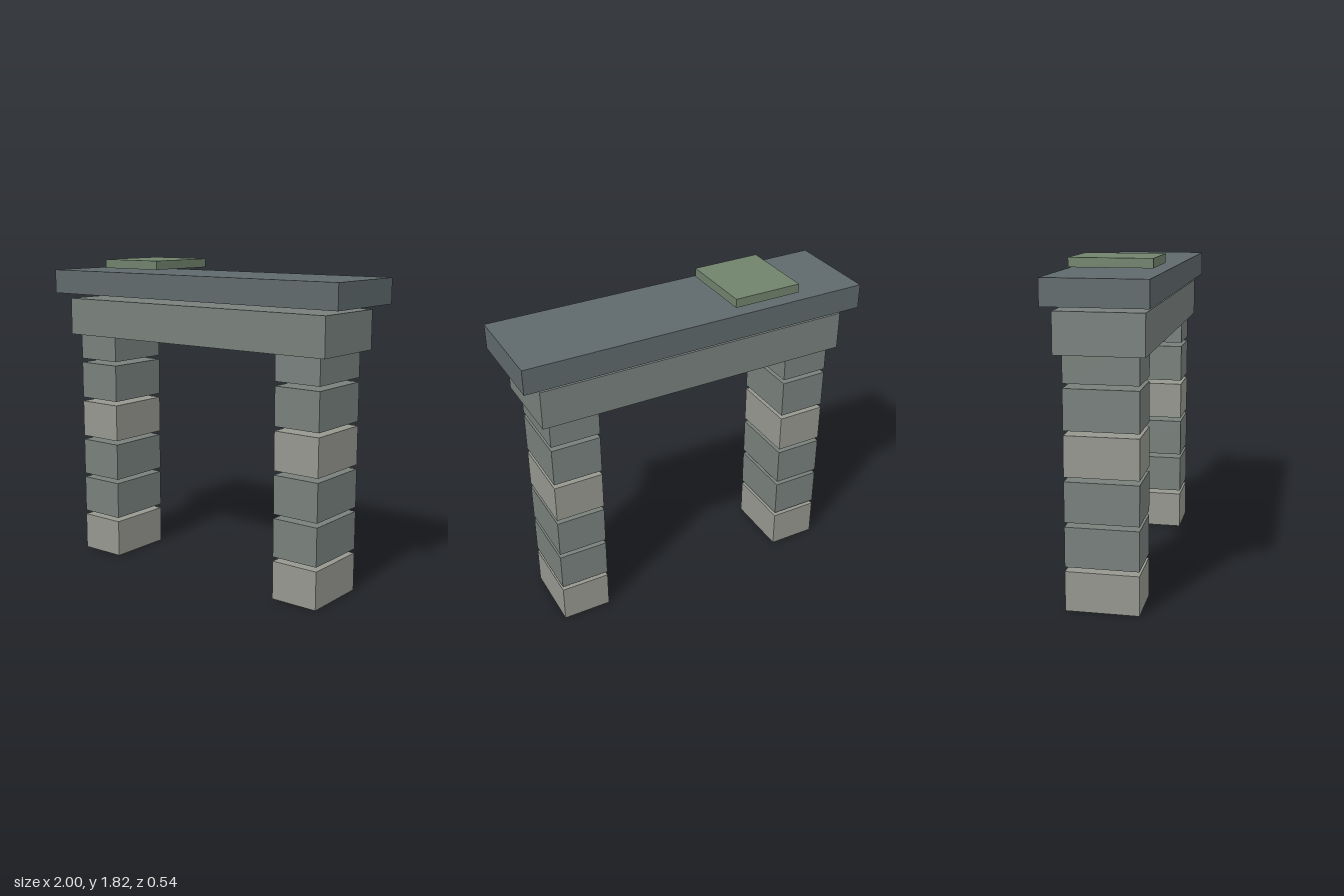
import * as THREE from 'three';

const stone = new THREE.MeshStandardMaterial({ color: 0x78807c });
const paleStone = new THREE.MeshStandardMaterial({ color: 0x96978f });
const slate = new THREE.MeshStandardMaterial({ color: 0x5f696b });
const moss = new THREE.MeshStandardMaterial({ color: 0x70826c });

// Box centred on x, z with its underside at y
function slab(name, material, [w, h, d], x, y) {
  const mesh = new THREE.Mesh(new THREE.BoxGeometry(w, h, d), material);
  mesh.name = name;
  mesh.position.set(x, y + h / 2, 0);
  return mesh;
}

// Stack of six separated blocks, every third one pale; the top one runs into the lintel
function pillar(name, x) {
  const group = new THREE.Group();
  group.name = name;
  for (let i = 0; i < 6; i++) {
    group.add(slab('pillarBlock', i % 3 ? stone : paleStone, [0.28, 0.218, 0.395], x, i * 0.2425));
  }
  return group;
}

export function createModel() {
  const gate = new THREE.Group();
  gate.name = 'stoneGate';
  gate.add(
    pillar('rightPillar', -0.72),
    pillar('leftPillar', 0.72),
    slab('lintel', stone, [1.814, 0.218, 0.468], 0, 1.362),
    slab('capStone', slate, [2, 0.14, 0.54], 0, 1.61),
    slab('mossPatch', moss, [0.395, 0.05, 0.442], -0.422, 1.77),
  );
  return gate;
}
